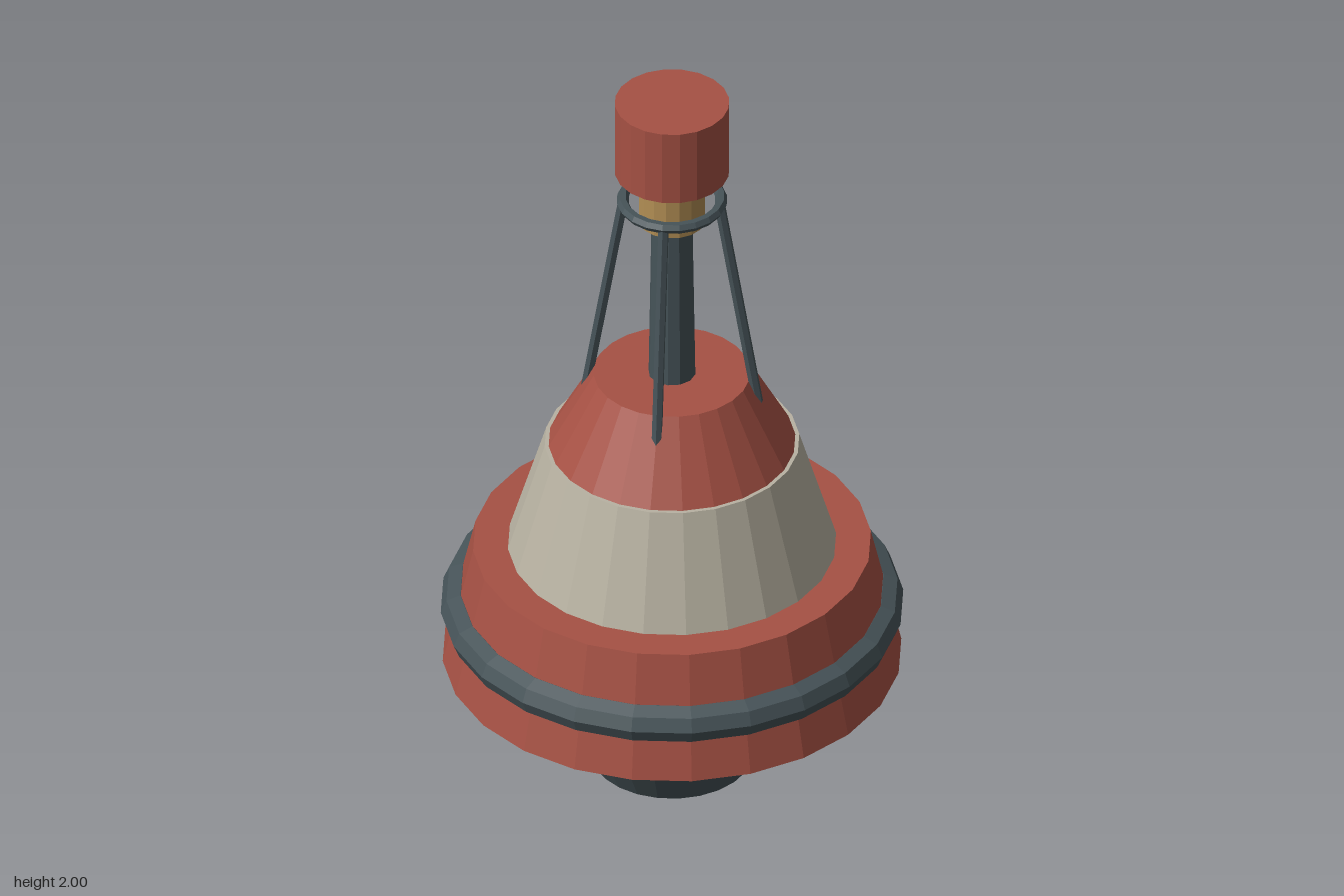
import * as THREE from 'three';

const mat = (name, color) => {
  const m = new THREE.MeshStandardMaterial({ color, flatShading: true });
  m.name = name;
  return m;
};

export function createModel() {
  const buoy = new THREE.Group();
  buoy.name = 'buoy';
  const red = mat('red paint', 0xa65144);
  const grey = mat('dark steel', 0x465358);
  const cream = mat('pale band', 0xb8b2a2);
  const brass = mat('brass', 0xb28e54);

  const add = (name, geometry, material) => {
    const mesh = new THREE.Mesh(geometry, material);
    mesh.name = name;
    buoy.add(mesh);
    return mesh;
  };
  // Round section between two heights
  const section = (name, y0, r0, y1, r1, sides, material) => {
    const mesh = add(name, new THREE.CylinderGeometry(r1, r0, y1 - y0, sides), material);
    mesh.position.y = (y0 + y1) / 2;
  };
  // Horizontal ring
  const ring = (name, y, radius, tube, tubeSides, sides, material) => {
    const geometry = new THREE.TorusGeometry(radius, tube, tubeSides, sides).rotateX(Math.PI / 2);
    add(name, geometry, material).position.y = y;
  };

  // Float and stacked body
  section('keel', 0, 0.205, 0.32, 0.375, 24, grey);
  section('float', 0.315, 0.58, 0.65, 0.503, 24, red);
  ring('fender', 0.465, 0.535, 0.05, 8, 24, grey);
  section('paleBand', 0.65, 0.415, 0.96, 0.322, 24, cream);
  section('upperCone', 0.958, 0.313, 1.17, 0.198, 24, red);

  // Mast and top mark
  section('mast', 1.16, 0.06, 1.8, 0.05, 12, grey);
  section('collar', 1.64, 0.085, 1.76, 0.085, 16, brass);
  section('topMark', 1.79, 0.145, 2, 0.145, 20, red);

  // Cage around the mast
  ring('cageRing', 1.7, 0.125, 0.015, 6, 20, grey);
  const up = new THREE.Vector3(0, 1, 0);
  for (let i = 0; i < 4; i++) {
    const a = i * Math.PI / 2;
    const at = (r, y) => new THREE.Vector3(Math.cos(a) * r, y, Math.sin(a) * r);
    const low = at(0.222, 1.09), high = at(0.122, 1.7);
    const along = high.clone().sub(low);
    const rod = add('cageRod', new THREE.CylinderGeometry(0.014, 0.014, along.length(), 6), grey);
    rod.position.copy(low).add(high).multiplyScalar(0.5);
    rod.quaternion.setFromUnitVectors(up, along.normalize());
  }
  return buoy;
}
